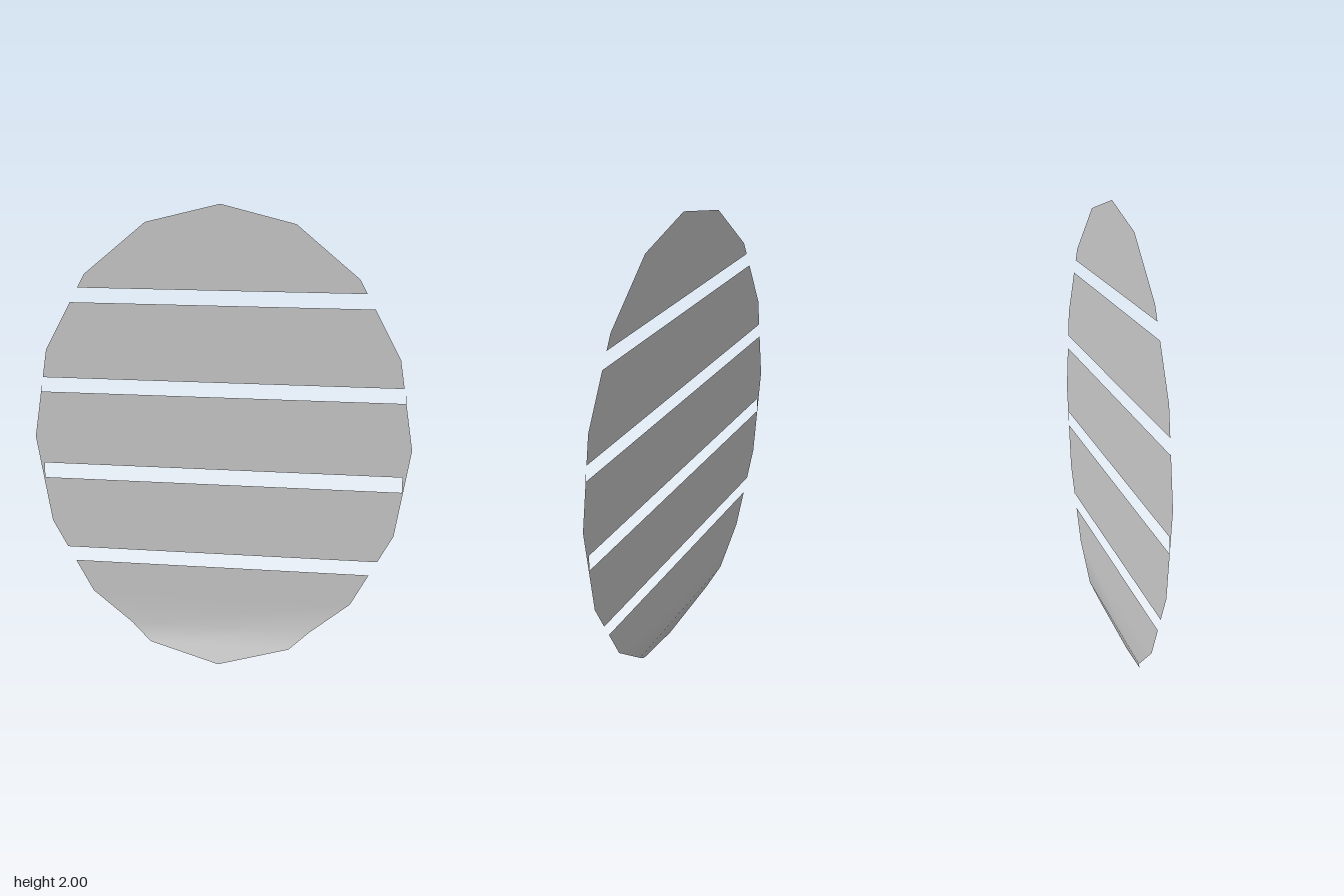
import * as THREE from 'three';

const HALF_WIDTH = 0.805;   // half width of the oval
const SLOT = 0.77;          // half width of the slots
const FOLD = 0.15;          // height below which the sheet bends forward
const material = new THREE.MeshStandardMaterial({ color: 0xcccccc, side: THREE.DoubleSide });

// Corner heights of the 16-sided oval, top to bottom
const corners = Array.from({ length: 9 }, (_, i) => 1 + Math.cos((i * Math.PI) / 8));

// Half width of the oval at height y, straight between corners
function halfWidth(y) {
  for (let i = 0; i < 8; i++) {
    if (y >= corners[i + 1] - 1e-9) {
      const t = (corners[i] - y) / (corners[i] - corners[i + 1]);
      return HALF_WIDTH * THREE.MathUtils.lerp(Math.sin((i * Math.PI) / 8), Math.sin(((i + 1) * Math.PI) / 8), t);
    }
  }
  return 0;
}

const depth = (y) => -0.033 + 0.43 * Math.max(0, FOLD - y);

// Thin sheet from rows of [xLeft, xRight, y], top to bottom, facing +z
function sheet(name, rows) {
  const positions = [], index = [];
  rows.forEach(([x0, x1, y], i) => {
    positions.push(x0, y, depth(y), x1, y, depth(y));
    if (i) {
      const a = 2 * i - 2;
      index.push(a, a + 2, a + 1, a + 1, a + 2, a + 3);
    }
  });
  const geometry = new THREE.BufferGeometry();
  geometry.setAttribute('position', new THREE.Float32BufferAttribute(positions, 3));
  geometry.setIndex(index);
  geometry.computeVertexNormals();
  const mesh = new THREE.Mesh(geometry, material);
  mesh.name = name;
  return mesh;
}

export function createModel() {
  const group = new THREE.Group();
  group.name = 'slottedOvalPanel';

  // Five slats, each [top, bottom]
  const slats = [[2, 1.65], [1.588, 1.263], [1.2, 0.882], [0.815, 0.497], [0.434, 0]];
  slats.forEach(([top, bottom], i) => {
    const inner = [...corners, FOLD].filter((y) => y < top - 1e-6 && y > bottom + 1e-6);
    const heights = [top, ...inner, bottom].sort((a, b) => b - a);
    group.add(sheet(`slat${i + 1}`, heights.map((y) => [-halfWidth(y), halfWidth(y), y])));
  });

  // Narrow rims left outside the two middle slots
  [[1.241, 1.2], [0.882, 0.815]].forEach((heights, i) => {
    group.add(sheet(`leftRim${i + 1}`, heights.map((y) => [SLOT, Math.max(SLOT, halfWidth(y)), y])));
    group.add(sheet(`rightRim${i + 1}`, heights.map((y) => [-Math.max(SLOT, halfWidth(y)), -SLOT, y])));
  });

  return group;
}
